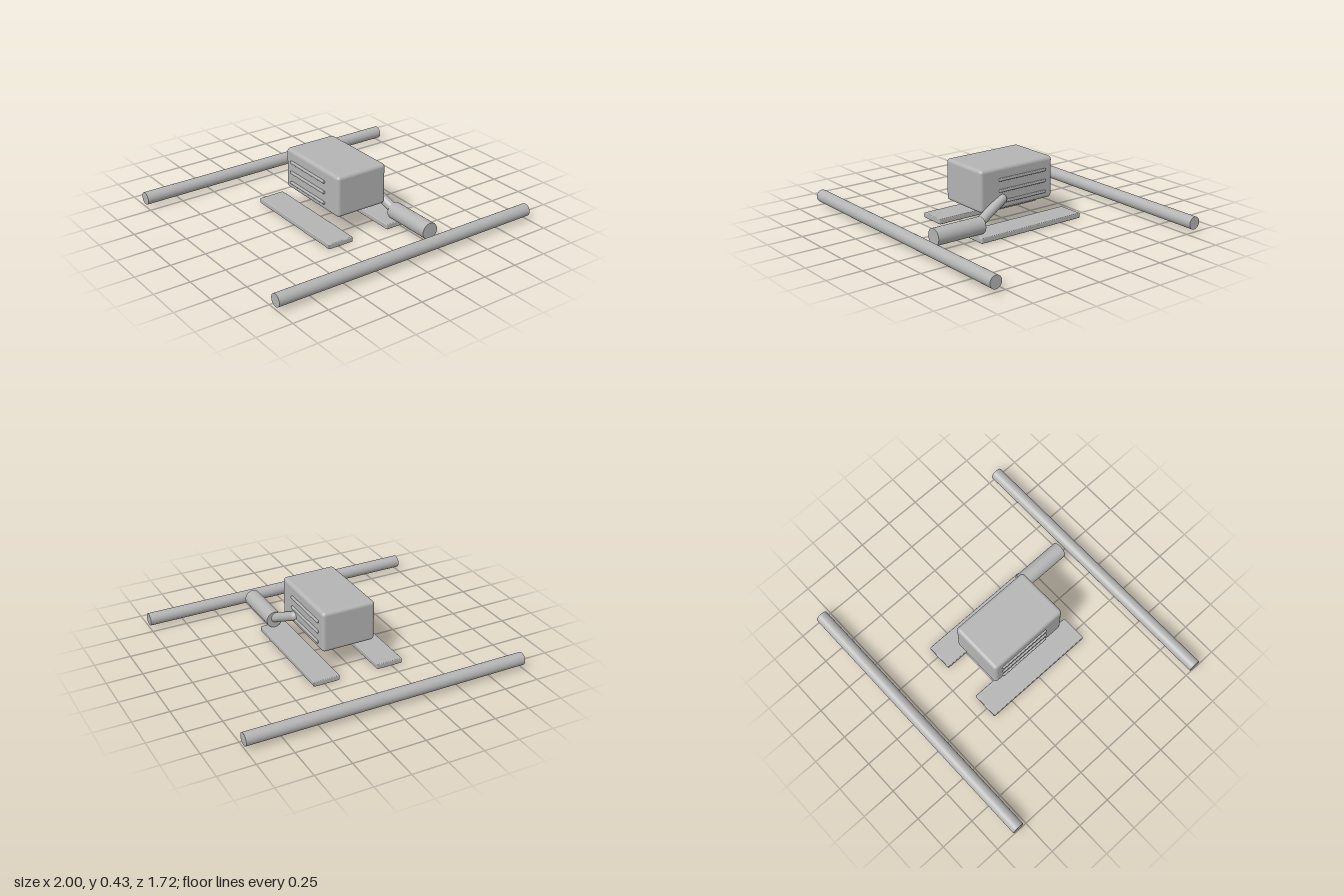
import * as THREE from 'three';
import { RoundedBoxGeometry } from 'three/addons/geometries/RoundedBoxGeometry.js';

export function createModel() {
  const model = new THREE.Group();
  model.name = 'engineAssembly';
  const grey = new THREE.MeshStandardMaterial({ color: 0xb4b4b4 });
  grey.name = 'plainGrey';

  const add = (name, geometry, x, y, z) => {
    const mesh = new THREE.Mesh(geometry, grey);
    mesh.name = name;
    mesh.position.set(x, y, z);
    model.add(mesh);
    return mesh;
  };

  // Long round rails at the front and back
  for (const [name, z] of [['frontRail', 0.818], ['backRail', -0.818]]) {
    add(name, new THREE.CylinderGeometry(0.044, 0.044, 2, 48), 0, 0.063, z).rotation.z = Math.PI / 2;
  }

  // Engine block with softened edges
  add('engineBlock', new RoundedBoxGeometry(0.386, 0.29, 0.6, 5, 0.025), 0, 0.289, 0.022);

  for (const side of [-1, 1]) {
    const label = side > 0 ? 'left' : 'right';
    // Flat mounting skid
    add(label + 'Skid', new RoundedBoxGeometry(0.188, 0.036, 0.828, 3, 0.006), side * 0.234, 0.018, 0);
    // Three cooling fins on the block's side
    for (let i = 0; i < 3; i++) {
      add(label + 'Fin' + (i + 1), new RoundedBoxGeometry(0.03, 0.019, 0.392, 3, 0.006),
        side * 0.191, 0.197 + i * 0.076, -0.021);
    }
  }

  // Silencer lying along z
  add('silencer', new THREE.CylinderGeometry(0.058, 0.058, 0.369, 48), 0.243, 0.094, 0.544).rotation.x = Math.PI / 2;

  // Round-ended exhaust pipe from the block down to the silencer
  const top = new THREE.Vector3(0.19, 0.214, 0.147);
  const bottom = new THREE.Vector3(0.238, 0.098, 0.385);
  const run = bottom.clone().sub(top);
  const mid = top.clone().add(bottom).multiplyScalar(0.5);
  const pipe = add('exhaustPipe', new THREE.CapsuleGeometry(0.033, run.length(), 10, 32), mid.x, mid.y, mid.z);
  pipe.quaternion.setFromUnitVectors(new THREE.Vector3(0, 1, 0), run.normalize());

  return model;
}
